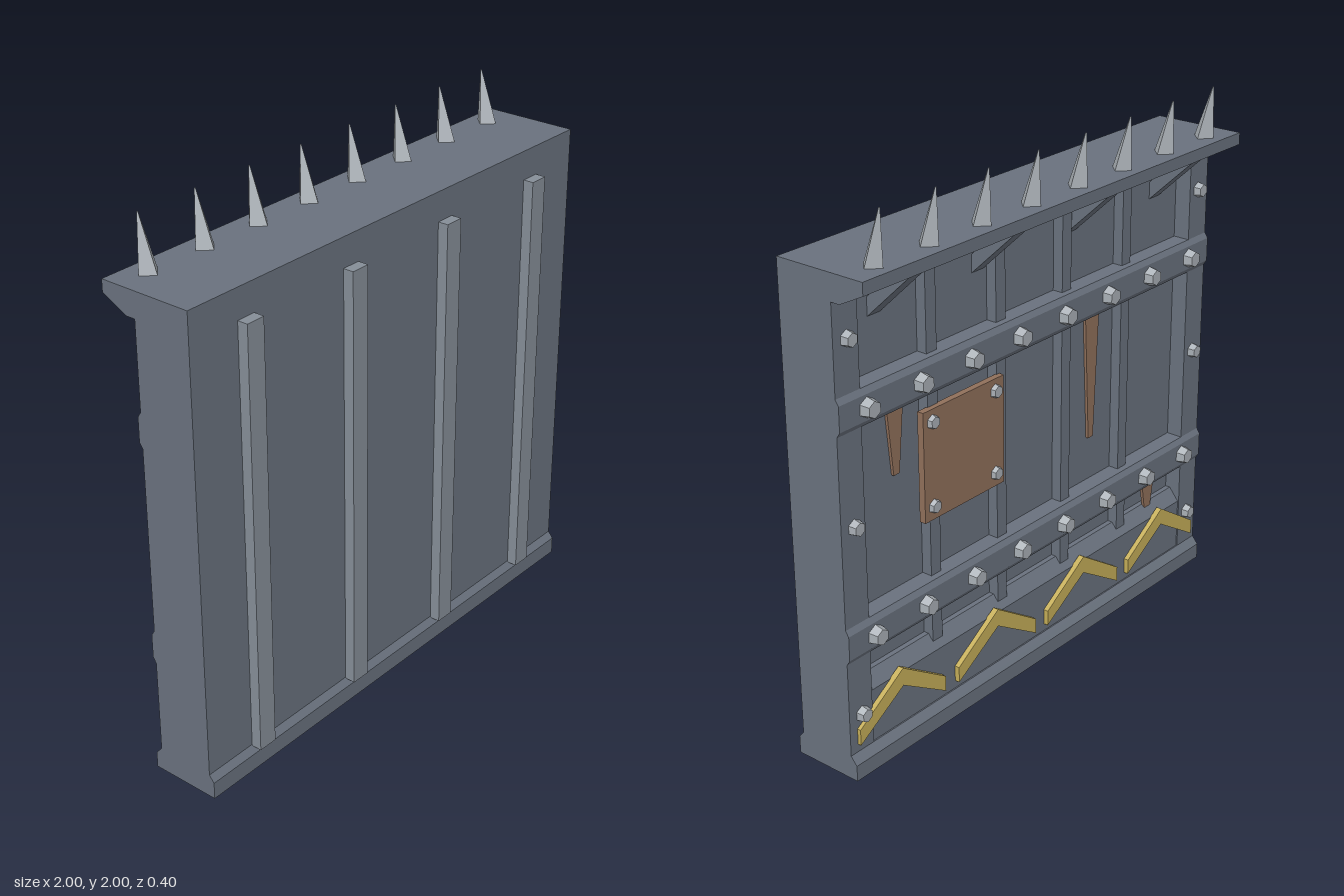
import * as THREE from 'three';

const mat = (color) => new THREE.MeshStandardMaterial({ color, flatShading: true });

export function createModel() {
  const group = new THREE.Group();
  const wall = mat(0x69717d), trim = mat(0x858d97), steel = mat(0xa9afb5);
  const rust = mat(0x8f6f5a), yellow = mat(0xc4ad58);

  function add(name, geometry, material, x = 0, y = 0, z = 0) {
    const mesh = new THREE.Mesh(geometry, material);
    mesh.name = name;
    mesh.position.set(x, y, z);
    group.add(mesh);
    return mesh;
  }
  // Box given by its limits on each axis
  const block = (name, m, x0, x1, y0, y1, z0, z1) =>
    add(name, new THREE.BoxGeometry(x1 - x0, y1 - y0, z1 - z0), m,
      (x0 + x1) / 2, (y0 + y1) / 2, (z0 + z1) / 2);

  const extrude = (points, depth) => {
    const shape = new THREE.Shape(points.map(([a, b]) => new THREE.Vector2(a, b)));
    return new THREE.ExtrudeGeometry(shape, { depth, bevelEnabled: false }).translate(0, 0, -depth / 2);
  };
  // Side profile of [z, y] points swept along x
  const sweep = (name, points, width, m, x = 0, y = 0) =>
    add(name, extrude(points, width).rotateY(-Math.PI / 2), m, x, y);

  // Hexagonal bolt whose head points to the back
  const bolt = (name, x, y, z, r, h) =>
    add(name, new THREE.CylinderGeometry(r * 0.8, r, h, 6).rotateX(-Math.PI / 2), steel, x, y, z - h / 2);

  // Main slab, base and overhanging cap
  block('wallPanel', wall, -1, 1, 0.09, 1.715, 0, 0.16);
  sweep('base', [[0.18, 0], [0.18, 0.065], [0.16, 0.09], [-0.065, 0.09], [-0.09, 0.06], [-0.09, 0]], 2, wall);
  sweep('cap', [[0.16, 1.715], [0.16, 1.81], [-0.2, 1.81], [-0.2, 1.765], [-0.1, 1.715]], 2, wall);

  // Back frame: side posts, thin ribs, lower plate with a sloped top
  for (const s of [-1, 1]) {
    block('sidePost', wall, s * 0.945 - 0.055, s * 0.945 + 0.055, 0.09, 1.715, -0.065, 0);
    for (const x of [0.18, 0.53])
      block('backRib', wall, s * x - 0.025, s * x + 0.025, 0.09, 1.715, -0.04, 0);
    for (const y of [0.23, 0.93, 1.58]) bolt('postBolt', s * 0.94, y, -0.063, 0.03, 0.029);
  }
  sweep('lowerPlate', [[0, 0.09], [0, 0.34], [-0.02, 0.34], [-0.06, 0.29], [-0.06, 0.09]], 1.78, wall);

  // Chamfered cross rails
  for (const y of [0.51, 1.33])
    sweep('crossRail', [[0, -0.065], [0, 0.065], [-0.065, 0.065], [-0.078, 0.045], [-0.078, -0.045], [-0.065, -0.065]],
      2, wall, 0, y);

  // Eight stations: a leaning spike above, a bolt on each rail
  for (let i = 0; i < 8; i++) {
    const x = -0.875 + i * 0.25;
    const spike = new THREE.CylinderGeometry(0.003, 0.041, 0.19, 4).translate(0, 0.095, 0);
    const p = spike.attributes.position;
    for (let k = 0; k < p.count; k++) p.setZ(k, p.getZ(k) - p.getY(k) * 0.17);
    add('spike', spike, steel, x, 1.81, -0.126);
    for (const y of [0.51, 1.33]) bolt('railBolt', x, y, -0.077, 0.037, 0.035);
  }

  // Four bays: front rib, strut under the cap, chevron
  for (const x of [-0.75, -0.25, 0.25, 0.75]) {
    block('frontRib', trim, x - 0.0375, x + 0.0375, 0.085, 1.7, 0.15, 0.2);
    sweep('capStrut', [[0, 1.585], [0, 1.65], [-0.12, 1.765], [-0.195, 1.768]], 0.06, wall, x);
    add('chevron', extrude([[-0.215, 0.12], [0, 0.25], [0.215, 0.12], [0.215, 0.18], [0, 0.318], [-0.215, 0.18]], 0.022),
      yellow, x, 0, -0.068);
  }

  // Bolted repair plate
  block('patchPlate', rust, 0.19, 0.6, 0.8, 1.205, -0.06, -0.035);
  for (const x of [0.235, 0.555]) for (const y of [0.85, 1.16]) bolt('patchBolt', x, y, -0.059, 0.027, 0.017);

  // Tapering rust streaks below the rails: x, top, bottom
  for (const [x, top, bottom] of [[0.68, 1.28, 1.0], [-0.37, 1.28, 0.75], [-0.72, 0.46, 0.3]])
    add('rustStreak', extrude([[-0.042, top], [-0.014, bottom], [0.014, bottom], [0.042, top]], 0.012),
      rust, x, 0, x === -0.72 ? -0.025 : -0.005);

  return group;
}
